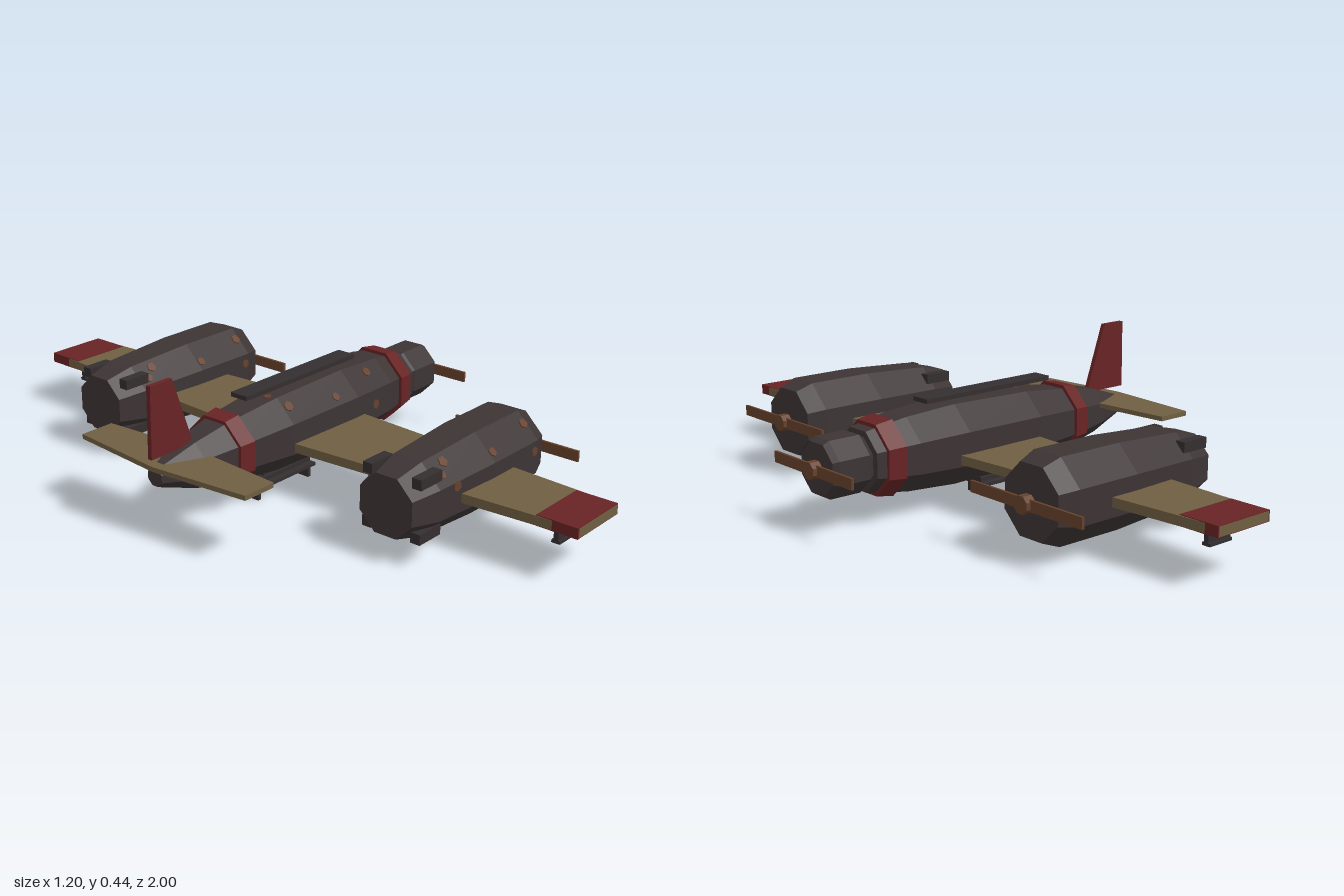
import * as THREE from 'three';

const mat = (name, color) => Object.assign(new THREE.MeshStandardMaterial({ color }), { name });

export function createModel() {
  const model = new THREE.Group();
  model.name = 'aircraft';
  const hull = mat('hull charcoal', 0x3d3434);
  const fitting = mat('fitting dark', 0x342e2f);
  const tan = mat('wing tan', 0x6f5e42);
  const red = mat('marking red', 0x682324);
  const rust = mat('rust brown', 0x66402b);

  const add = (parent, name, geo, material, x = 0, y = 0, z = 0) => {
    const m = new THREE.Mesh(geo, material);
    m.name = name;
    m.position.set(x, y, z);
    parent.add(m);
    return m;
  };
  const box = (parent, name, w, h, d, material, x, y, z) =>
    add(parent, name, new THREE.BoxGeometry(w, h, d), material, x, y, z);

  // Eight-sided body along x, from [x, half-height] stations, with closed ends
  const K = 1 / Math.cos(Math.PI / 8);
  const octBody = (stations) => {
    const pts = stations.map(([x, r]) => new THREE.Vector2(r * K, x));
    pts.unshift(new THREE.Vector2(0, stations[0][0]));
    pts.push(new THREE.Vector2(0, stations[stations.length - 1][0]));
    let g = new THREE.LatheGeometry(pts, 8, Math.PI / 8);
    g.rotateZ(-Math.PI / 2);
    g = g.toNonIndexed();
    g.computeVertexNormals();
    return g;
  };

  // Flat panel from [x, z] corners, centred on its thickness
  const panel = (corners, t) => {
    const s = new THREE.Shape(corners.map(([x, z]) => new THREE.Vector2(x, -z)));
    const g = new THREE.ExtrudeGeometry(s, { depth: t, bevelEnabled: false });
    g.translate(0, 0, -t / 2);
    g.rotateX(-Math.PI / 2);
    return g;
  };

  // Thin rust flake lying on facet number f (0 = +z side, 1 = upper diagonal, 2 = top)
  const patch = (parent, stations, f, x, across, size, sides) => {
    let i = 0;
    while (i < stations.length - 2 && stations[i + 1][0] < x) i++;
    const [x0, r0] = stations[i], [x1, r1] = stations[i + 1];
    const r = r0 + (r1 - r0) * (x - x0) / (x1 - x0);
    const holder = new THREE.Group();
    holder.name = 'rustPatch';
    holder.rotation.x = -f * Math.PI / 4;
    const g = new THREE.CylinderGeometry(size, size, 0.006, sides);
    g.rotateX(Math.PI / 2);
    const m = add(holder, 'rustFlake', g, rust, x, across, r);
    m.rotation.y = -Math.atan2(r1 - r0, x1 - x0);
    parent.add(holder);
  };

  // Two-bladed propeller on a short hub
  const propeller = (parent, x, span) => {
    const p = new THREE.Group();
    p.name = 'propeller';
    p.position.x = x;
    add(p, 'hub', octBody([[-0.015, 0.024], [0.015, 0.024]]), rust);
    for (const s of [-1, 1]) box(p, 'blade', 0.008, 0.032, span, rust, -0.002, 0, s * span / 2);
    parent.add(p);
  };

  // Fuselage
  const body = new THREE.Group();
  body.name = 'fuselage';
  body.position.y = 0.183;
  model.add(body);
  const bodyLine = [[-0.585, 0.026], [-0.46, 0.067], [-0.35, 0.09], [-0.15, 0.111],
    [0.13, 0.118], [0.3, 0.108], [0.435, 0.087]];
  add(body, 'hullShell', octBody(bodyLine), hull);
  add(body, 'noseCowl', octBody([[0.43, 0.065], [0.455, 0.082], [0.555, 0.082], [0.572, 0.072]]), hull);
  add(body, 'rearBand', octBody([[-0.355, 0.098], [-0.305, 0.105]]), red);
  add(body, 'frontBand', octBody([[0.35, 0.11], [0.405, 0.102]]), red);
  propeller(body, 0.587, 0.18);
  [[1, -0.13, 0.01, 0.016, 6], [1, 0.05, -0.02, 0.014, 5], [1, 0.225, 0.015, 0.015, 6],
    [2, -0.16, -0.02, 0.012, 5], [0, 0.22, 0, 0.015, 6]]
    .forEach((p) => patch(body, bodyLine, ...p));

  // Spine and belly rails
  box(model, 'spineRail', 0.472, 0.013, 0.06, fitting, -0.021, 0.317, 0);
  box(model, 'bellyRail', 0.27, 0.013, 0.06, fitting, -0.122, 0.049, 0);
  box(model, 'bellyPlate', 0.25, 0.01, 0.1, fitting, -0.11, 0.038, 0);
  box(model, 'bellyMount', 0.16, 0.025, 0.04, fitting, -0.1, 0.064, 0);
  for (const x of [-0.221, -0.003]) box(model, 'skidFoot', 0.012, 0.036, 0.084, fitting, x, 0.018, 0);

  // Tail
  const finShape = new THREE.Shape([[-0.6, 0.238], [-0.445, 0.238], [-0.517, 0.445], [-0.597, 0.445]]
    .map(([x, y]) => new THREE.Vector2(x, y)));
  add(model, 'tailFin', new THREE.ExtrudeGeometry(finShape, { depth: 0.014, bevelEnabled: false }), red, 0, 0, -0.007);
  add(model, 'tailplane', panel([[-0.595, 0], [-0.565, 0.31], [-0.457, 0.31], [-0.433, 0],
    [-0.457, -0.31], [-0.565, -0.31]], 0.014), tan, 0, 0.209, 0);

  // Wing through the fuselage
  add(model, 'wing', panel([[-0.153, 0], [-0.088, 1], [0.1, 1], [0.17, 0], [0.1, -1], [-0.088, -1]], 0.027),
    tan, 0, 0.156, 0);

  const podLine = [[-0.29, 0.085], [-0.2, 0.107], [0.03, 0.12], [0.24, 0.12], [0.295, 0.1]];
  for (const s of [-1, 1]) {
    // Red wing tip sleeve
    box(model, 'wingTip', 0.196, 0.031, 0.123, red, 0.005, 0.156, s * 0.9375);

    // Pylon under the wing tip
    box(model, 'pylonPlate', 0.126, 0.014, 0.05, fitting, -0.003, 0.134, s * 0.91);
    box(model, 'pylonStem', 0.085, 0.045, 0.014, fitting, -0.003, 0.105, s * 0.91);
    box(model, 'pylonFoot', 0.085, 0.008, 0.026, fitting, -0.003, 0.087, s * 0.91);

    // Engine pod
    const pod = new THREE.Group();
    pod.name = 'enginePod';
    pod.position.set(0, 0.163, s * 0.547);
    add(pod, 'podShell', octBody(podLine), hull);
    propeller(pod, 0.318, 0.208);
    for (const sy of [-1, 1]) for (const sz of [-1, 1])
      box(pod, 'exhaust', 0.09, 0.03, 0.03, fitting, -0.222, sy * 0.077, sz * 0.08);
    [[0, -0.13, 0.035, 0.015, 6], [1, -0.135, 0.02, 0.016, 5], [1, -0.165, -0.01, 0.013, 6],
      [1, 0.045, -0.02, 0.014, 6], [1, 0.225, 0.01, 0.016, 5], [0, 0.225, 0.02, 0.014, 6]]
      .forEach((p) => patch(pod, podLine, ...p));
    model.add(pod);
  }
  return model;
}
